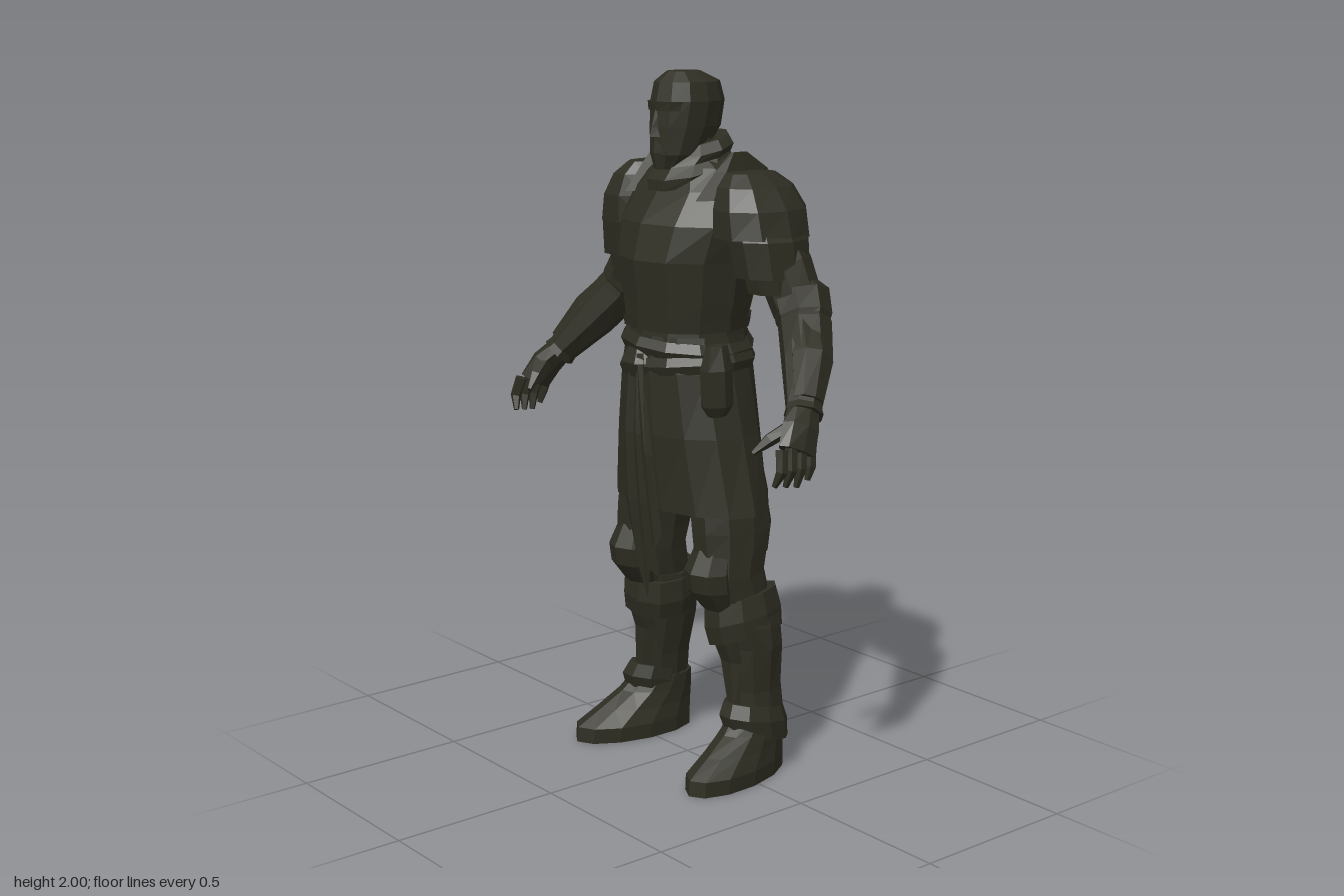
import * as THREE from 'three';

const armour = new THREE.MeshStandardMaterial({ color: 0x2e2d22, flatShading: true, side: THREE.DoubleSide });
armour.name = 'dark olive armour';

function meshFrom(name, pos, idx) {
  const g = new THREE.BufferGeometry();
  g.setAttribute('position', new THREE.Float32BufferAttribute(pos, 3));
  g.setIndex(idx);
  g.computeVertexNormals();
  const m = new THREE.Mesh(g, armour);
  m.name = name;
  return m;
}

// Skin over elliptical rings [x, y, z, radiusAcross, radiusDeep]; level keeps rings horizontal.
function loft(name, rings, { sides = 10, level = true, caps = true, move = null } = {}) {
  const pos = [], idx = [], n = rings.length;
  const P = rings.map(r => new THREE.Vector3(r[0], r[1], r[2]));
  const put = v => { if (move) move(v); pos.push(v.x, v.y, v.z); };
  P.forEach((p, i) => {
    const t = P[Math.min(i + 1, n - 1)].clone().sub(P[Math.max(i - 1, 0)]);
    if (level) t.set(0, Math.sign(t.y) || 1, 0);
    t.normalize();
    const u = t.clone().cross(new THREE.Vector3(0, 0, 1)).normalize();
    const v = u.clone().cross(t);
    for (let j = 0; j < sides; j++) {
      const a = j / sides * Math.PI * 2;
      put(p.clone().addScaledVector(u, Math.cos(a) * rings[i][3]).addScaledVector(v, Math.sin(a) * rings[i][4]));
    }
  });
  for (let i = 0; i < n - 1; i++) for (let j = 0; j < sides; j++) {
    const a = i * sides + j, b = i * sides + (j + 1) % sides;
    idx.push(a, a + sides, b, b, a + sides, b + sides);
  }
  if (caps) {
    put(P[0].clone()); put(P[n - 1].clone());
    const s = n * sides, last = (n - 1) * sides;
    for (let j = 0; j < sides; j++) {
      const k = (j + 1) % sides;
      idx.push(s, j, k, s + 1, last + k, last + j);
    }
  }
  return meshFrom(name, pos, idx);
}

// Hanging cloth: rows [y, z, xMin, xMax] with pleats and a ragged lower edge.
function cloth(name, rows, drops, fold) {
  const pos = [], idx = [], c = drops.length;
  rows.forEach(([y, z, x0, x1], i) => drops.forEach((d, j) => {
    const end = i === rows.length - 1 ? d : 0;
    pos.push(x0 + (x1 - x0) * j / (c - 1), y - end, z + (j % 2 ? fold : 0));
    if (i && j) {
      const a = i * c + j;
      idx.push(a, a - c, a - 1, a - 1, a - c, a - c - 1);
    }
  }));
  return meshFrom(name, pos, idx);
}

function buildHead() {
  const g = new THREE.Group();
  g.name = 'head';
  g.add(
    loft('skull', [[0, 1.735, .065, .035, .035], [0, 1.775, .035, .066, .083], [0, 1.85, .008, .083, .108],
      [0, 1.92, 0, .092, .11], [0, 1.972, .002, .082, .097], [0, 2, .015, .04, .05]], { sides: 12 }),
    loft('neck', [[0, 1.66, -.03, .09, .09], [0, 1.82, -.02, .068, .07]]),
    loft('nose', [[0, 1.825, .105, .02, .03], [0, 1.85, .105, .014, .022], [0, 1.9, .1, .011, .014]], { sides: 4 }),
    loft('brow', [[0, 1.895, .07, .066, .044], [0, 1.92, .065, .07, .052]], { sides: 8 }),
    loft('beard', [[0, 1.735, .08, .03, .032], [0, 1.78, .07, .05, .05], [0, 1.815, .065, .055, .052]], { sides: 8 }));
  return g;
}

function buildTorso() {
  const g = new THREE.Group();
  g.name = 'torso';
  g.add(
    loft('breastplate', [[0, 1.31, 0, .18, .172], [0, 1.37, -.005, .192, .183], [0, 1.49, -.008, .21, .2],
      [0, 1.59, -.02, .235, .187], [0, 1.68, -.045, .225, .15], [0, 1.74, -.05, .15, .115], [0, 1.765, -.04, .1, .09]], { sides: 12 }),
    loft('waist', [[0, 1.22, 0, .18, .17], [0, 1.29, 0, .172, .164], [0, 1.33, 0, .176, .168]], { sides: 12 }),
    loft('scarf', [[0, 1.705, .005, .105, .115], [0, 1.735, -.005, .125, .125], [0, 1.76, -.02, .105, .11],
      [0, 1.78, -.03, .115, .1], [0, 1.805, -.035, .09, .085]], { move: v => { v.y -= v.z * .25; } }),
    // Raised seams follow the lower edge of the breastplate.
    loft('breastplateRim', [[0, 1.295, 0, .184, .178], [0, 1.325, 0, .188, .182]], { sides: 12, caps: false }));
  return g;
}

function buildSkirt() {
  const g = new THREE.Group();
  g.name = 'skirtAndBelt';
  const skew = k => v => { v.y += v.x * k; };
  g.add(
    loft('skirt', [[0, .78, -.012, .285, .165], [0, 1, -.005, .238, .178], [0, 1.18, 0, .198, .178],
      [0, 1.28, 0, .178, .165]], { sides: 14, caps: false }),
    loft('upperBelt', [[0, 1.225, 0, .192, .175], [0, 1.25, 0, .2, .187], [0, 1.275, 0, .182, .172]], { sides: 12, move: skew(-.08) }),
    loft('lowerBelt', [[0, 1.165, 0, .202, .178], [0, 1.19, 0, .21, .188], [0, 1.215, 0, .198, .178]], { sides: 12, move: skew(.1) }),
    loft('sashKnot', [[-.02, 1.16, .165, .045, .025], [-.02, 1.2, .17, .06, .035], [-.02, 1.24, .165, .04, .02]], { sides: 6 }),
    loft('pouch', [[.215, 1.07, .07, .02, .03], [.215, 1.1, .07, .036, .05], [.21, 1.2, .07, .036, .05],
      [.2, 1.265, .06, .02, .035]], { sides: 6 }),
    cloth('frontTabard', [[1.23, .178, -.04, .04], [1, .185, -.06, .055], [.8, .172, -.07, .068], [.62, .142, -.058, .07]],
      [0, .03, .12, .025, .04, -.02], .012),
    cloth('sashEnd', [[1.2, .19, .01, .035], [.95, .192, .03, .08], [.72, .168, .045, .09]], [.02, .05, 0], .008),
    cloth('backTabard', [[1.24, -.18, -.05, .05], [1, -.19, -.065, .065], [.78, -.195, -.08, .08], [.6, -.182, -.06, .06]],
      [0, .04, .09, .03, .06, -.02], -.012));
  return g;
}

function buildArm() {
  const g = new THREE.Group();
  g.name = 'arm';
  const limb = { level: false, sides: 8 };
  g.add(
    // Overlapping shoulder plates with an upright guard beside the neck.
    loft('pauldron', [[.25, 1.565, -.055, .126, .145], [.243, 1.64, -.055, .112, .145],
      [.23, 1.7, -.05, .085, .12], [.215, 1.735, -.045, .05, .08]]),
    loft('pauldronLowerPlate', [[.293, 1.46, -.06, .096, .115], [.28, 1.56, -.055, .1, .125], [.27, 1.61, -.05, .08, .11]]),
    loft('upperArmPlate', [[.305, 1.415, -.07, .082, .09], [.298, 1.5, -.06, .088, .1]]),
    loft('neckGuard', [[.155, 1.66, -.05, .035, .15], [.16, 1.735, -.06, .022, .095], [.165, 1.785, -.045, .006, .03]], { sides: 8 }),
    loft('upperArm', [[.24, 1.62, -.05, .08, .09], [.32, 1.48, -.08, .078, .078], [.37, 1.37, -.09, .07, .075]], limb),
    loft('elbowGuard', [[.345, 1.44, -.1, .05, .055], [.36, 1.41, -.1, .078, .085], [.395, 1.35, -.085, .076, .08],
      [.42, 1.32, -.07, .06, .062]], limb),
    loft('vambrace', [[.36, 1.39, -.095, .06, .065], [.41, 1.33, -.075, .072, .076], [.475, 1.245, -.025, .068, .072],
      [.54, 1.145, .045, .045, .052], [.55, 1.13, .055, .05, .056]], limb),
    loft('vambraceTopPlate', [[.43, 1.35, -.07, .034, .055], [.49, 1.265, -.025, .052, .06], [.55, 1.165, .04, .035, .045]], limb),
    loft('palm', [[.54, 1.15, .045, .036, .045], [.572, 1.1, .085, .036, .058], [.592, 1.045, .115, .028, .062]], limb),
    loft('thumb', [[.555, 1.11, .1, .02, .022], [.528, 1.075, .155, .018, .02], [.508, 1.04, .195, .007, .008]], { level: false, sides: 5 }));
  for (let i = 0; i < 4; i++) {
    const z = .068 + i * .033, short = i === 0 ? .02 : 0;
    g.add(loft('finger', [[.59, 1.06, z, .018, .017], [.604, 1.005, z + .012, .017, .016],
      [.605 - i * .006, .95 + short + i * .005, z + .022, .008, .008]], { level: false, sides: 5 }));
  }
  return g;
}

function buildLeg() {
  const g = new THREE.Group();
  g.name = 'leg';
  g.add(
    loft('thigh', [[.185, .5, -.04, .085, .1], [.177, .6, -.01, .088, .11], [.172, .7, -.025, .09, .12],
      [.155, .82, -.02, .105, .13], [.115, 1.02, -.01, .105, .12]]),
    loft('thighPlate', [[.178, .665, -.015, .095, .118], [.172, .73, -.022, .098, .128], [.165, .78, -.02, .1, .125]]),
    loft('kneeGuard', [[.178, .5, .03, .055, .045], [.175, .56, .06, .075, .063], [.175, .615, .065, .075, .068],
      [.175, .68, .045, .06, .055]], { sides: 8 }),
    loft('greave', [[.225, .12, -.085, .064, .084], [.21, .25, -.078, .068, .087], [.195, .38, -.075, .092, .095],
      [.185, .46, -.06, .1, .11], [.18, .52, -.05, .092, .105]]),
    loft('greaveCuff', [[.196, .41, -.055, .1, .115], [.188, .465, -.05, .107, .12], [.182, .53, -.045, .1, .11]],
      { move: v => { v.y += (v.x - .19) * .25 - (v.z + .05) * .15; } }),
    loft('shinRidge', [[.215, .2, .0, .022, .018], [.2, .34, .0, .045, .025], [.19, .45, .035, .055, .03]], { sides: 6 }),
    loft('strapFlap', [[.3, .385, -.06, .006, .012], [.28, .45, -.06, .02, .05], [.265, .51, -.06, .02, .05]], { sides: 5 }),
    loft('bootCuff', [[.232, .11, -.07, .07, .105], [.227, .165, -.06, .076, .115], [.22, .205, -.065, .066, .1]],
      { move: v => { v.y += (v.z + .06) * .2; } }),
    loft('boot', [[.235, 0, .02, .088, .192], [.235, .045, .018, .09, .19], [.233, .09, -.02, .078, .152],
      [.23, .135, -.055, .072, .115], [.225, .18, -.075, .066, .09]], { sides: 12, move: v => { v.x += v.z * .14; } }));
  return g;
}

export function createModel() {
  const model = new THREE.Group();
  model.name = 'armouredWarrior';
  model.add(buildHead(), buildTorso(), buildSkirt());
  for (const [side, s] of [['left', 1], ['right', -1]]) {
    const half = new THREE.Group();
    half.name = side + 'Limbs';
    half.add(buildArm(), buildLeg());
    half.scale.x = s;
    model.add(half);
  }
  return model;
}
